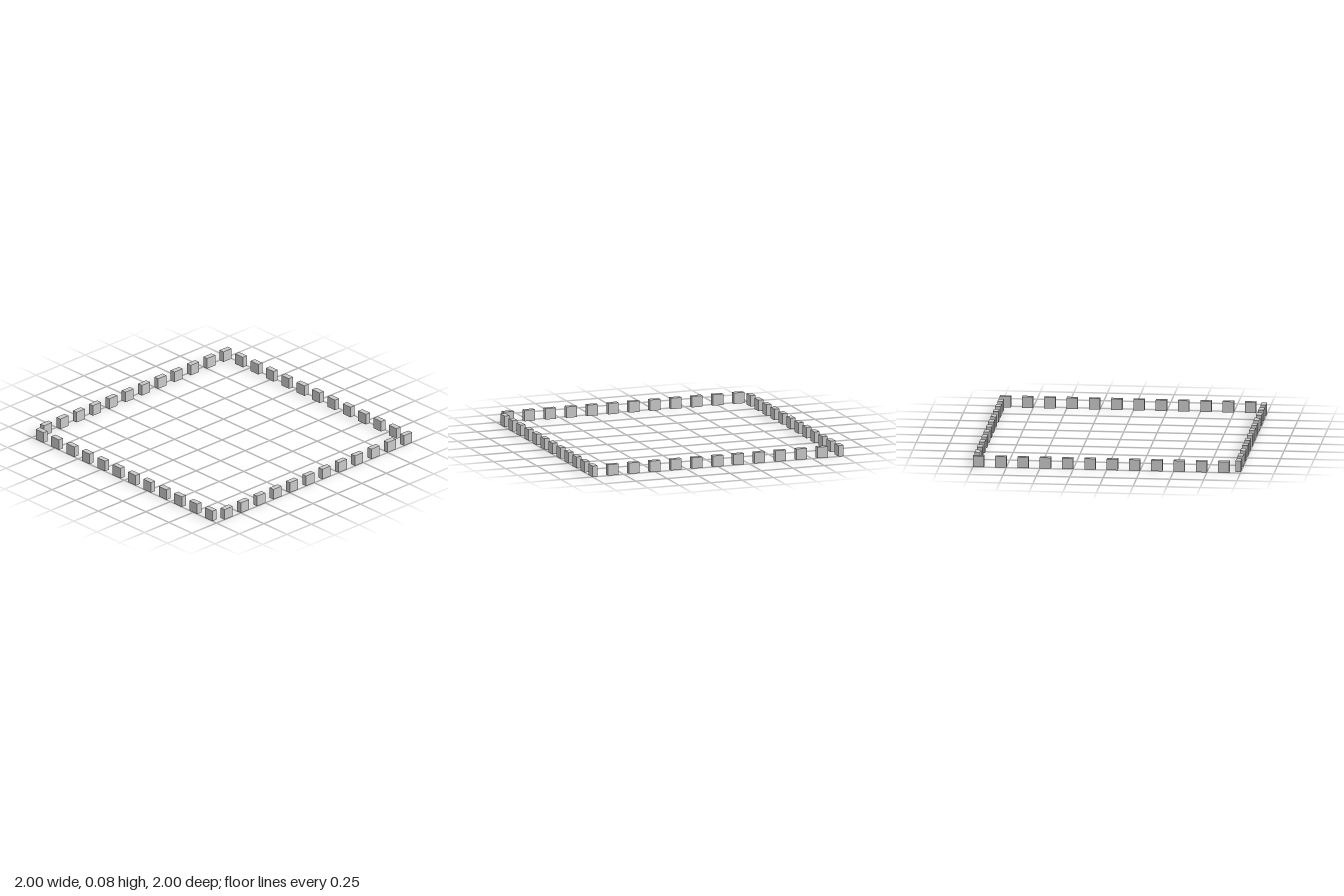
import * as THREE from 'three';

const SIZE = 1 / 12;        // block width and height
const DEPTH = SIZE / 2;     // block thickness
const STEP = SIZE * 2;      // block plus gap
const EDGE = 1 - DEPTH / 2; // centre line of each row

export function createModel() {
  const model = new THREE.Group();
  model.name = 'battlements';
  const material = new THREE.MeshStandardMaterial({ color: 0xcccccc, flatShading: true });
  const alongX = new THREE.BoxGeometry(SIZE, SIZE, DEPTH);
  const alongZ = new THREE.BoxGeometry(DEPTH, SIZE, SIZE);

  // A row of evenly spaced blocks; place(t) gives the x and z of each one
  function addRow(name, geometry, count, start, place) {
    const row = new THREE.Group();
    row.name = name;
    for (let i = 0; i < count; i++) {
      const block = new THREE.Mesh(geometry, material);
      block.name = 'merlon';
      const [x, z] = place(start + i * STEP);
      block.position.set(x, SIZE / 2, z);
      row.add(block);
    }
    model.add(row);
  }

  // Front and back rows are staggered against each other
  addRow('frontRow', alongX, 12, -1 + SIZE, (t) => [t, EDGE]);
  addRow('backRow', alongX, 11, -1 + STEP, (t) => [t, -EDGE]);

  // Side rows start flush with the back corners
  addRow('leftRow', alongZ, 12, -1 + SIZE / 2, (t) => [EDGE, t]);
  addRow('rightRow', alongZ, 12, -1 + SIZE / 2, (t) => [-EDGE, t]);

  return model;
}
